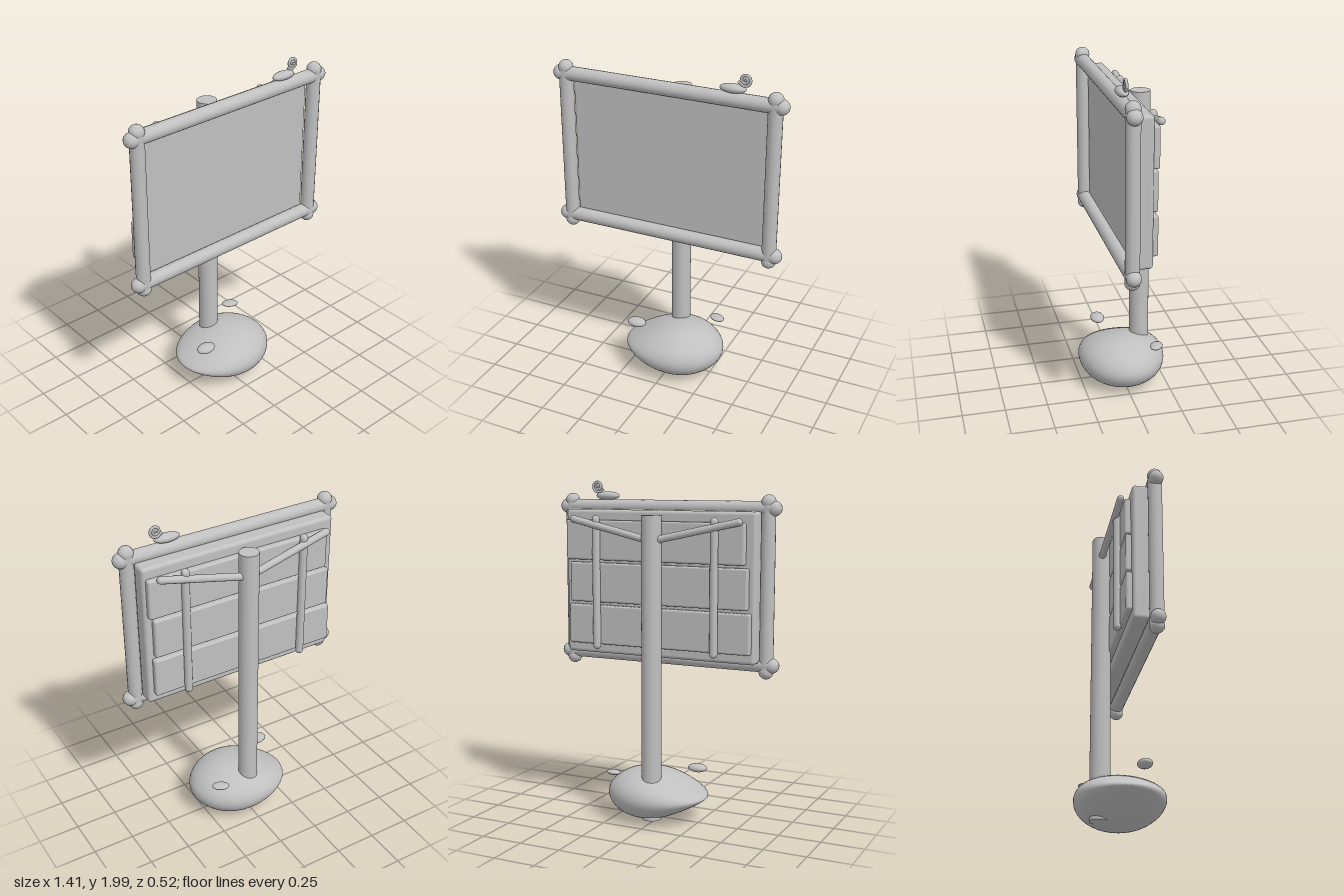
import * as THREE from 'three';
import { RoundedBoxGeometry } from 'three/addons/geometries/RoundedBoxGeometry.js';

const V = (x, y, z) => new THREE.Vector3(x, y, z);

export function createModel() {
  const model = new THREE.Group();
  model.name = 'signboard';
  const clay = new THREE.MeshStandardMaterial({ color: 0xc0c0c0 });
  clay.name = 'plain grey';

  function add(name, geometry, x = 0, y = 0, z = 0) {
    const mesh = new THREE.Mesh(geometry, clay);
    mesh.name = name;
    mesh.position.set(x, y, z);
    model.add(mesh);
    return mesh;
  }

  // Round-ended rod between two points
  function rod(name, a, b, radius) {
    const dir = b.clone().sub(a);
    const mesh = add(name, new THREE.CapsuleGeometry(radius, dir.length(), 6, 16));
    mesh.position.copy(a).lerp(b, 0.5);
    mesh.quaternion.setFromUnitVectors(V(0, 1, 0), dir.normalize());
    return mesh;
  }

  // Flattened stone
  function pebble(name, x, y, z, sx, sy, sz) {
    const mesh = add(name, new THREE.SphereGeometry(1, 20, 12), x, y, z);
    mesh.scale.set(sx, sy, sz);
    return mesh;
  }

  // Post running down through the base rock
  add('post', new THREE.CylinderGeometry(0.057, 0.058, 1.775, 28), 0, 0.9175, -0.115);

  // Base rock: an ellipsoid thinning towards one side
  const rock = new THREE.SphereGeometry(1, 40, 28);
  const p = rock.attributes.position;
  for (let i = 0; i < p.count; i++) {
    const u = p.getX(i);
    const thickness = 1 + 0.35 * u - 0.3 * u * u;
    p.setXYZ(i, 0.012 + 0.307 * u, 0.157 + 0.146 * thickness * p.getY(i), 0.258 * p.getZ(i));
  }
  rock.computeVertexNormals();
  add('baseRock', rock);

  // Loose stones beside the post
  pebble('frontPebble', -0.2, 0.308, 0.1, 0.06, 0.025, 0.043);
  const back = pebble('backPebble', 0.222, 0.298, -0.167, 0.052, 0.013, 0.036);
  back.rotation.y = -0.5;

  // Sign panel
  add('panel', new RoundedBoxGeometry(1.2, 0.85, 0.098, 4, 0.02), 0, 1.405, 0.011);

  // Frame poles crossing at the corners, with knobbed ends
  const fz = 0.085;
  for (const y of [0.965, 1.845]) {
    rod('frameRail', V(-0.655, y, fz), V(0.655, y, fz), 0.041);
    for (const s of [-1, 1]) add('railKnob', new THREE.SphereGeometry(0.043, 16, 12), s * 0.66, y, fz);
  }
  for (const s of [-1, 1]) {
    rod('frameStile', V(s * 0.626, 0.93, fz), V(s * 0.626, 1.88, fz), 0.041);
    for (const y of [0.929, 1.879]) add('stileKnob', new THREE.SphereGeometry(0.043, 16, 12), s * 0.626, y, fz);
  }

  // Staggered planks across the back: [left end, right end, centre height]
  for (const [x0, x1, y] of [[-0.545, 0.583, 1.653], [-0.565, 0.558, 1.405], [-0.583, 0.568, 1.155]]) {
    add('backPlank', new RoundedBoxGeometry(x1 - x0, 0.233, 0.042, 3, 0.012), (x0 + x1) / 2, y, -0.052);
  }

  // Vertical battens and sloping arms tying the planks to the post
  for (const s of [-1, 1]) {
    rod('batten', V(s * 0.373, 1.035, -0.085), V(s * 0.373, 1.775, -0.087), 0.023);
    rod('supportArm', V(s * 0.02, 1.665, -0.121), V(s * 0.52, 1.775, -0.092), 0.021);
  }

  // Snail on the top rail: flat body and coiled shell
  pebble('snailBody', 0.385, 1.907, fz, 0.076, 0.025, 0.034);
  const coil = [];
  for (let i = 0; i <= 36; i++) {
    const t = i / 36;
    const a = -2.5 + t * Math.PI * 4;
    const r = 0.035 - 0.03 * t;
    coil.push(V(0.452 + r * Math.cos(a), 1.961 + r * Math.sin(a), 0));
  }
  coil.unshift(V(0.412, 1.948, 0));
  add('snailShell', new THREE.TubeGeometry(new THREE.CatmullRomCurve3(coil), 90, 0.0085, 8), 0, 0, fz - 0.003);
  add('shellCentre', new THREE.SphereGeometry(0.0095, 10, 8), 0.456, 1.959, fz - 0.003);

  return model;
}
